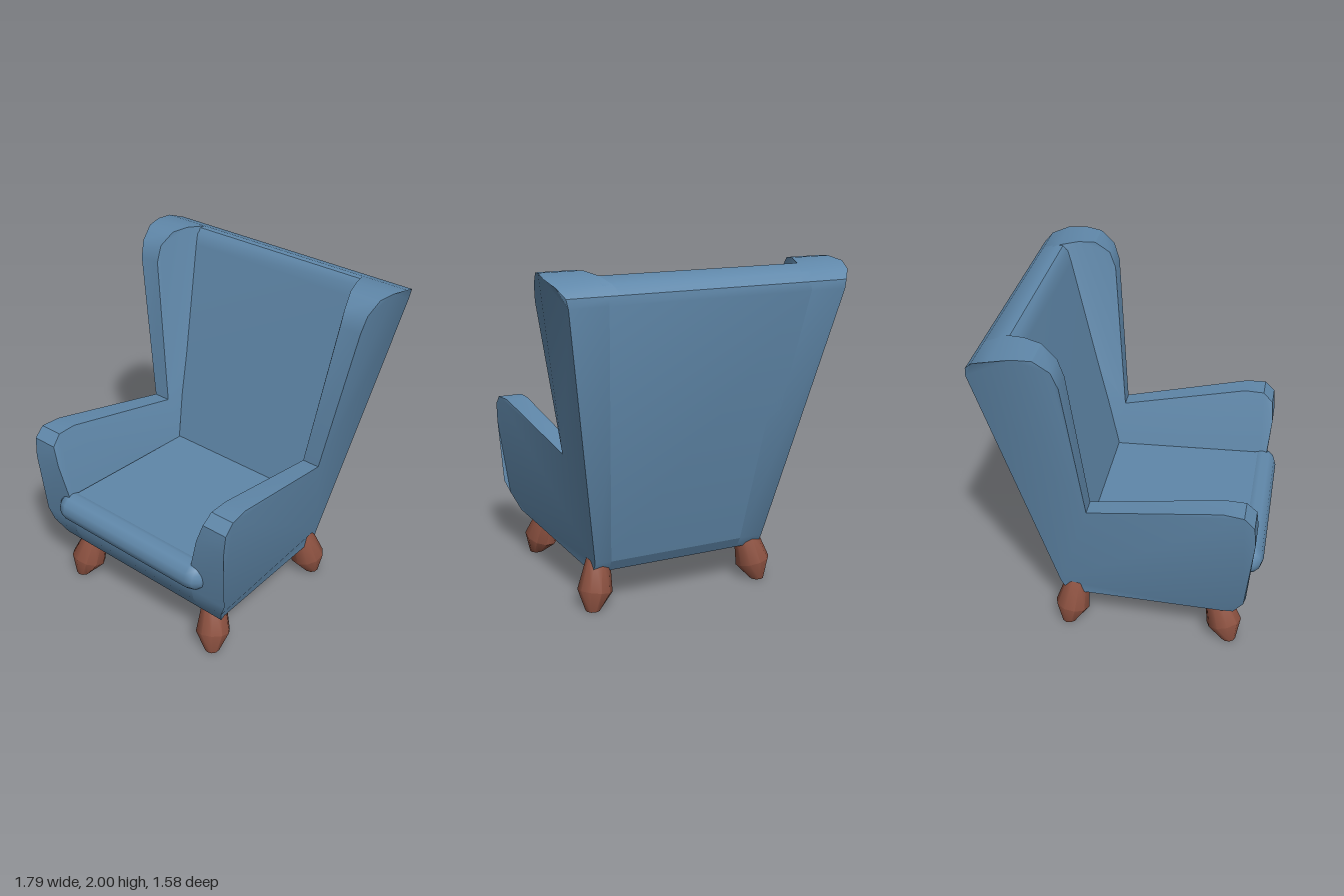
import * as THREE from 'three';
import { toCreasedNormals } from 'three/addons/utils/BufferGeometryUtils.js';

const fabric = new THREE.MeshStandardMaterial({ color: 0x6088aa });
const wood = new THREE.MeshStandardMaterial({ color: 0x8f5342 });

// Prism across x. Each profile point is [z, y, xMin, xMax], so the two ends can lean.
function prism(points) {
  const pos = [];
  const put = (i, end) => pos.push(points[i][2 + end], points[i][1], points[i][0]);
  const outline = points.map(([z, y]) => new THREE.Vector2(z, y));
  for (const [a, b, c] of THREE.ShapeUtils.triangulateShape(outline, [])) {
    put(a, 0); put(b, 0); put(c, 0);
    put(a, 1); put(c, 1); put(b, 1);
  }
  points.forEach((_, i) => {
    const j = (i + 1) % points.length;
    put(i, 0); put(i, 1); put(j, 1);
    put(i, 0); put(j, 1); put(j, 0);
  });
  const geo = new THREE.BufferGeometry();
  geo.setAttribute('position', new THREE.Float32BufferAttribute(pos, 3));
  return toCreasedNormals(geo, 0.55);
}

// Symmetric prism from [z, y, halfWidth]
const centred = (points) => prism(points.map(([z, y, w]) => [z, y, -w, w]));

// Arm and wing outline: [z, y, inner x, outer x]
const SIDE = [
  [0.56, 0.25, 0.42, 0.60], [0.64, 0.29, 0.42, 0.64], [0.70, 0.40, 0.43, 0.69],
  [0.715, 0.48, 0.44, 0.725], [0.75, 0.88, 0.55, 0.745], [0.74, 1.0, 0.59, 0.75],
  [0.68, 1.06, 0.60, 0.75], [0.56, 1.065, 0.60, 0.735], [-0.22, 0.92, 0.55, 0.66],
  [-0.30, 1.82, 0.69, 0.825], [-0.335, 1.92, 0.69, 0.84], [-0.42, 1.99, 0.665, 0.86],
  [-0.52, 2.0, 0.635, 0.88], [-0.64, 1.985, 0.595, 0.895], [-0.74, 1.95, 0.56, 0.865],
  [-0.785, 1.90, 0.53, 0.83], [-0.79, 1.85, 0.50, 0.82], [-0.42, 0.30, 0.40, 0.55],
  [-0.38, 0.23, 0.40, 0.55],
];

// Backrest between the wings: [z, y, half width]
const BACK = [
  [-0.24, 0.60, 0.48], [-0.56, 1.88, 0.63], [-0.58, 1.95, 0.63], [-0.61, 1.98, 0.62],
  [-0.64, 1.985, 0.62], [-0.74, 1.95, 0.62], [-0.785, 1.90, 0.60], [-0.79, 1.85, 0.60],
  [-0.42, 0.30, 0.45],
];

// Seat and apron: [z, y, half width]
const SEAT = [
  [0.56, 0.25, 0.48], [0.64, 0.29, 0.48], [0.70, 0.40, 0.48], [0.715, 0.48, 0.48],
  [0.72, 0.60, 0.49], [0.70, 0.675, 0.49], [-0.26, 0.65, 0.48], [-0.42, 0.30, 0.45],
  [-0.38, 0.23, 0.45],
];

// Splayed turned leg whose foot sits flat on the floor
function legGeometry(tiltX, tiltZ) {
  const profile = [[0, 0], [0.045, 0], [0.103, 0.11], [0.07, 0.29], [0, 0.29]];
  const geo = new THREE.LatheGeometry(profile.map(([r, y]) => new THREE.Vector2(r, y)), 10);
  const p = geo.attributes.position;
  for (let i = 0; i < p.count; i++) {
    const x = p.getX(i), y = p.getY(i), z = p.getZ(i);
    const lift = y > 0 ? tiltX * x + tiltZ * z : 0;
    p.setXYZ(i, x - tiltX * y, y + lift, z - tiltZ * y);
  }
  return toCreasedNormals(geo.toNonIndexed(), 0.7);
}

export function createModel() {
  const chair = new THREE.Group();
  chair.name = 'wingChair';
  const add = (name, geo, material) => {
    const mesh = new THREE.Mesh(geo, material);
    mesh.name = name;
    chair.add(mesh);
    return mesh;
  };

  add('seat', centred(SEAT), fabric);
  add('backrest', centred(BACK), fabric);

  // Rounded front edge of the seat
  const roll = add('seatRoll', new THREE.CapsuleGeometry(0.092, 0.98, 3, 12), fabric);
  roll.rotation.z = Math.PI / 2;
  roll.position.set(0, 0.59, 0.70);

  // Mirrored arms with wings, and legs
  for (const s of [1, -1]) {
    const label = s > 0 ? 'left' : 'right';
    const side = SIDE.map(([z, y, a, b]) => (s > 0 ? [z, y, a, b] : [z, y, -b, -a]));
    add(label + 'ArmAndWing', prism(side), fabric);
    add(label + 'FrontLeg', legGeometry(s * 0.2, 0.3), wood).position.set(s * 0.55, 0, 0.615);
    add(label + 'BackLeg', legGeometry(s * 0.2, -0.18), wood).position.set(s * 0.55, 0, -0.375);
  }
  return chair;
}
